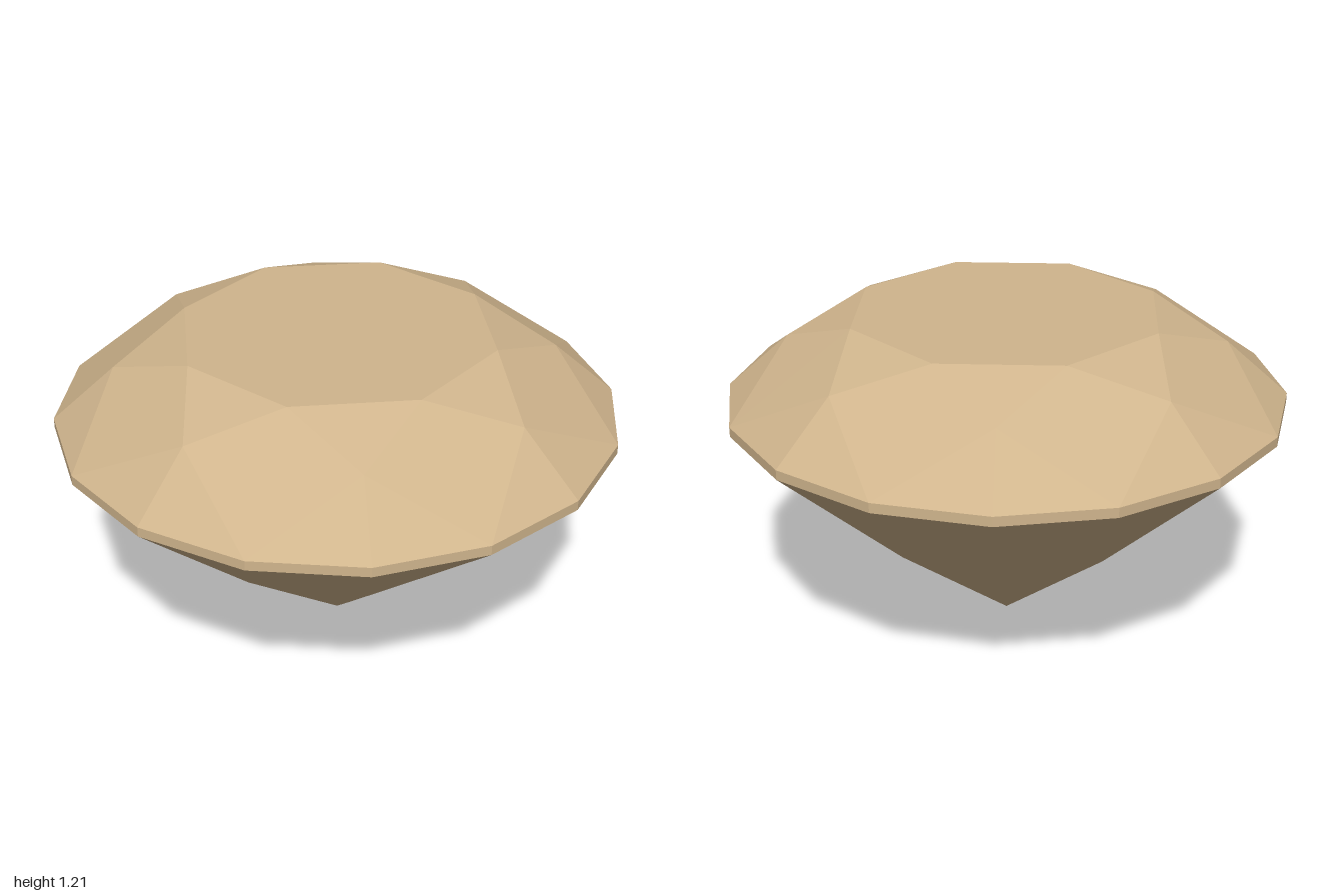
import * as THREE from 'three';

const SIDES = 16, STEP = Math.PI / 8, TWIST = 1.8 * Math.PI / 180;

// Point on a ring; k counts sixteenths of a turn from the front
const ring = (radius, y) => (k) => {
  const a = (k % SIDES) * STEP + TWIST;
  return [radius * Math.sin(a), y, radius * Math.cos(a)];
};

// Mesh from flat convex facets, each fanned into triangles
function facetMesh(name, facets, material) {
  const pos = [];
  for (const f of facets)
    for (let i = 1; i < f.length - 1; i++) pos.push(...f[0], ...f[i], ...f[i + 1]);
  const geo = new THREE.BufferGeometry();
  geo.setAttribute('position', new THREE.Float32BufferAttribute(pos, 3));
  geo.computeVertexNormals(); // unshared vertices keep every facet flat
  const mesh = new THREE.Mesh(geo, material);
  mesh.name = name;
  return mesh;
}

export function createModel() {
  const gem = new THREE.MeshStandardMaterial({ color: 0xd0b58d });
  gem.name = 'tan gem';

  const table = ring(0.565, 1.205);
  const crownMid = ring(0.779, 1.098);
  const upper = ring(1, 0.905);
  const lower = ring(1, 0.87);
  const pavilionMid = ring(0.498, 0.4);
  const tip = [0, 0, 0];

  const tableFacet = [], crown = [], girdle = [], pavilion = [];
  for (let k = 0; k < SIDES; k += 2) {
    const prev = k + SIDES - 1, mid = k + 1, next = k + 2;
    tableFacet.push(table(k));
    // Star, kite and upper girdle facets
    crown.push(
      [table(k), crownMid(mid), table(next)],
      [table(k), crownMid(prev), upper(k), crownMid(mid)],
      [crownMid(mid), upper(k), upper(mid)],
      [crownMid(mid), upper(mid), upper(next)]
    );
    // Main and lower girdle facets
    pavilion.push(
      [tip, pavilionMid(mid), lower(k), pavilionMid(prev)],
      [pavilionMid(mid), lower(mid), lower(k)],
      [pavilionMid(mid), lower(next), lower(mid)]
    );
  }
  // Thin vertical band
  for (let k = 0; k < SIDES; k++)
    girdle.push([lower(k), lower(k + 1), upper(k + 1), upper(k)]);

  const model = new THREE.Group();
  model.name = 'gemstone';
  model.add(
    facetMesh('table', [tableFacet], gem),
    facetMesh('crown', crown, gem),
    facetMesh('girdle', girdle, gem),
    facetMesh('pavilion', pavilion, gem)
  );
  return model;
}
